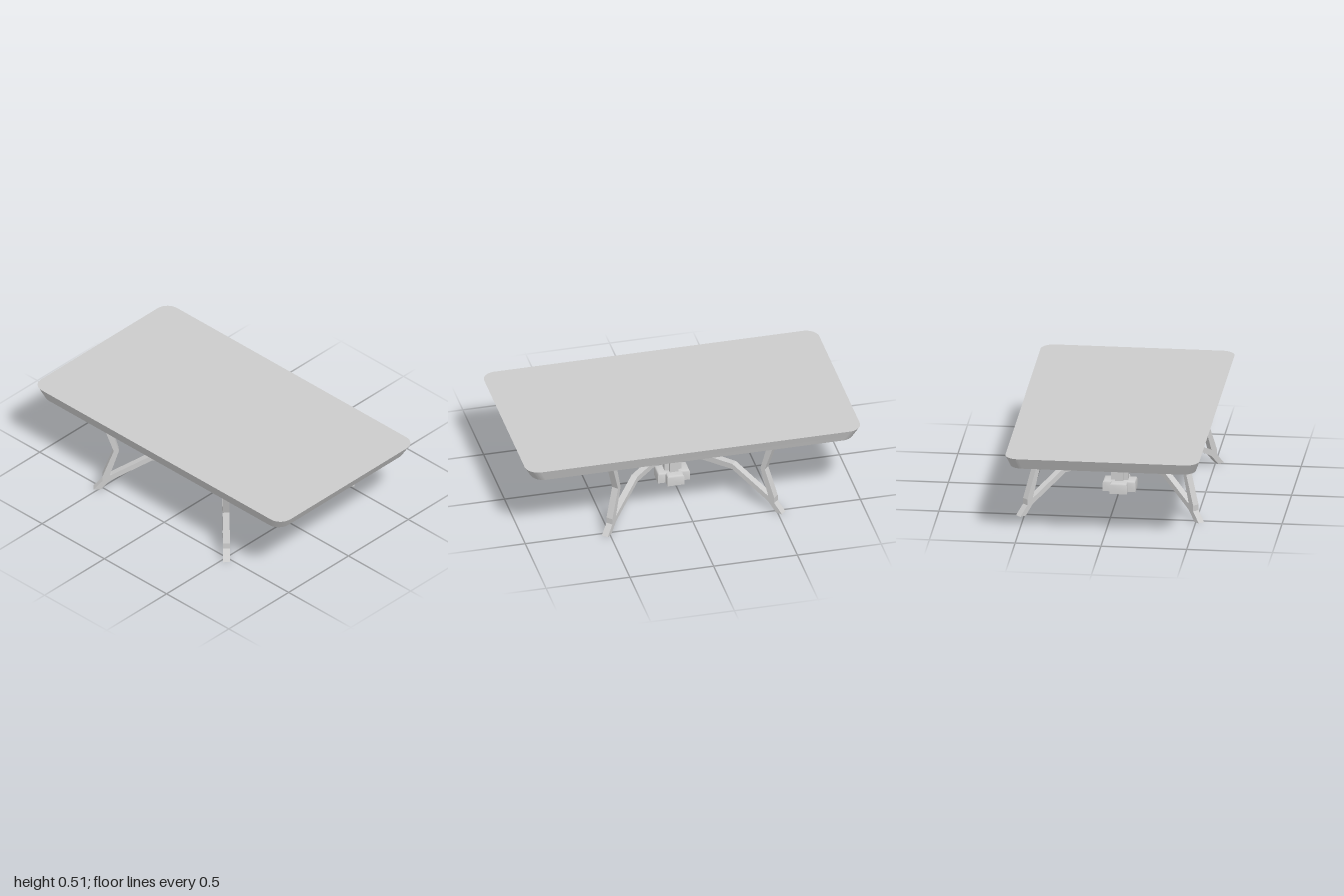
import * as THREE from 'three';
import { toCreasedNormals } from 'three/addons/utils/BufferGeometryUtils.js';

const material = new THREE.MeshStandardMaterial({ color: 0xcccccc });

function part(name, geometry, parent) {
  const mesh = new THREE.Mesh(geometry, material);
  mesh.name = name;
  parent.add(mesh);
  return mesh;
}

const polygon = (points) => new THREE.Shape(points.map(([x, y]) => new THREE.Vector2(x, y)));

// Extrude a plan shape upwards from y0 to y1
function upright(shape, y0, y1, bevel = 0) {
  const g = new THREE.ExtrudeGeometry(shape, {
    depth: y1 - y0 - bevel, curveSegments: 10,
    bevelEnabled: bevel > 0, bevelSize: bevel, bevelThickness: bevel, bevelSegments: 2,
  });
  g.rotateX(-Math.PI / 2);
  g.translate(0, y0, 0);
  return g;
}

// Plus-shaped plan: reach r, half arm width h
function plus(r, h) {
  return polygon([[r, -h], [r, h], [h, h], [h, r], [-h, r], [-h, h],
    [-r, h], [-r, -h], [-h, -h], [-h, -r], [h, -r], [h, -h]]);
}

function roundedRect(w, d, r) {
  const s = new THREE.Shape();
  s.absarc(w - r, d - r, r, 0, Math.PI / 2);
  s.absarc(r - w, d - r, r, Math.PI / 2, Math.PI);
  s.absarc(r - w, r - d, r, Math.PI, Math.PI * 1.5);
  s.absarc(w - r, r - d, r, Math.PI * 1.5, Math.PI * 2);
  s.closePath();
  return s;
}

// Side profile extruded to the leg width, centred on its own plane
function bar(points, width) {
  const scaled = points.map(([x, y]) => [x * Math.SQRT2, y]);
  const g = new THREE.ExtrudeGeometry(polygon(scaled), { depth: width, bevelEnabled: false });
  g.translate(0, 0, -width / 2);
  return g;
}

export function createModel() {
  const table = new THREE.Group();
  table.name = 'table';

  // Table top: rounded slab whose rim tapers inwards towards the underside
  const top = upright(roundedRect(1, 0.565, 0.08), 0.445, 0.515);
  const p = top.attributes.position;
  for (let i = 0; i < p.count; i++) {
    if (p.getY(i) < 0.48) {
      p.setX(i, p.getX(i) * 0.962);
      p.setZ(i, p.getZ(i) * 0.957);
    }
  }
  part('tableTop', toCreasedNormals(top, 0.6), table);

  // Central column and its wider foot
  part('column', upright(plus(0.05, 0.025), 0.03, 0.45), table);
  const foot = upright(plus(0.083, 0.038), 0, 0.065, 0.012);
  const f = foot.attributes.position;
  for (let i = 0; i < f.count; i++) f.setY(i, Math.max(0, f.getY(i)));
  part('columnFoot', toCreasedNormals(foot, 0.9), table);

  // Four diagonal legs, each with a bent brace reaching the column
  const width = 0.04;
  for (let i = 0; i < 4; i++) {
    const side = new THREE.Group();
    side.name = 'legAssembly' + (i + 1);
    side.rotation.y = Math.PI / 4 + i * Math.PI / 2;
    table.add(side);
    part('leg', bar([
      [0.505, 0], [0.534, 0], [0.497, 0.06], [0.497, 0.095], [0.452, 0.27],
      [0.495, 0.45], [0.467, 0.45], [0.431, 0.27], [0.468, 0.1], [0.468, 0.06],
    ], width), side);
    part('brace', bar([
      [0, 0.2], [0.296, 0.2], [0.47, 0.058], [0.48, 0.09],
      [0.46, 0.102], [0.297, 0.235], [0, 0.235],
    ], width * 0.98), side);
  }
  return table;
}
